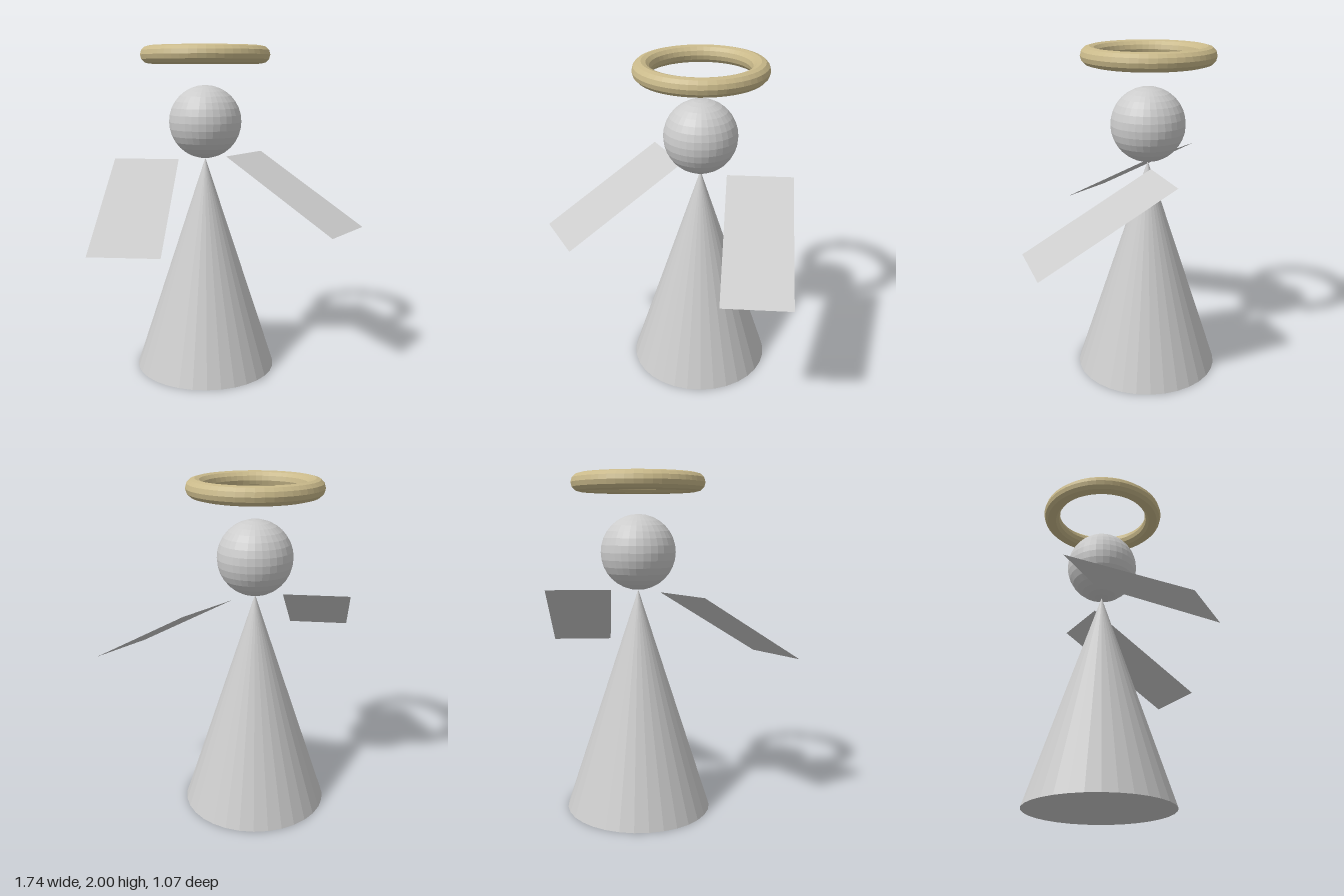
import * as THREE from 'three';

const grey = new THREE.MeshStandardMaterial({ color: 0xcccccc, flatShading: true });
const wingGrey = new THREE.MeshStandardMaterial({ color: 0xcccccc, side: THREE.DoubleSide });
const gold = new THREE.MeshStandardMaterial({ color: 0xc9b98a, flatShading: true });

function addPart(group, name, geometry, material, y = 0, z = 0) {
  const mesh = new THREE.Mesh(geometry, material);
  mesh.name = name;
  mesh.position.set(0, y, z);
  group.add(mesh);
  return mesh;
}

// Thin rectangular wing, sloping down and forward; side is +1 (left) or -1 (right)
function wingGeometry(side) {
  const inner = new THREE.Vector3(0.16, 1.325, -0.14);
  const across = new THREE.Vector3(0.345, 0, -0.19);
  const along = new THREE.Vector3(0.365, -0.42, 0.67);
  const geometry = new THREE.PlaneGeometry(1, 1);
  const position = geometry.attributes.position;
  for (let i = 0; i < position.count; i++) {
    const u = (position.getX(i) + 0.5);
    const v = (side > 0 ? position.getY(i) + 0.5 : 0.5 - position.getY(i));
    // Swapping the direction of v on the mirrored side keeps both faces turned the same way
    const p = inner.clone().addScaledVector(across, u).addScaledVector(along, 1 - v);
    position.setXYZ(i, p.x * side, p.y, p.z);
  }
  geometry.computeVertexNormals();
  return geometry;
}

export function createModel() {
  const group = new THREE.Group();
  group.name = 'angelFigure';
  const axisZ = -0.1;

  // Gown and head
  addPart(group, 'gown', new THREE.ConeGeometry(0.435, 1.33, 32), grey, 0.665, axisZ);
  addPart(group, 'head', new THREE.SphereGeometry(0.22, 32, 16), grey, 1.55, axisZ);

  // Halo
  const halo = new THREE.TorusGeometry(0.335, 0.0525, 12, 48).rotateX(Math.PI / 2);
  addPart(group, 'halo', halo, gold, 1.9475, axisZ);

  // Wings
  addPart(group, 'leftWing', wingGeometry(1), wingGrey);
  addPart(group, 'rightWing', wingGeometry(-1), wingGrey);

  return group;
}
